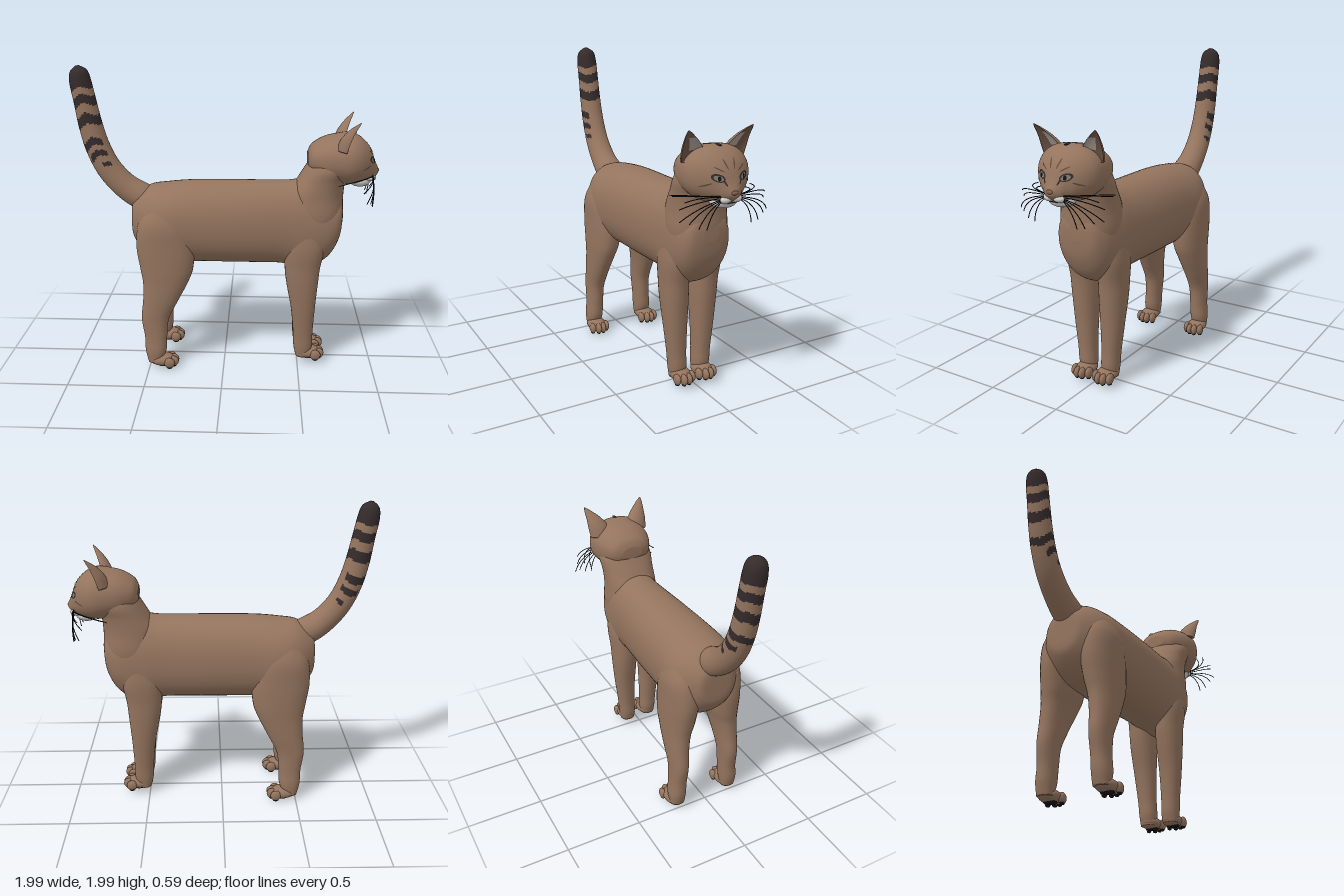
import * as THREE from 'three';

const mat = (name, color, side = THREE.FrontSide) => {
  const m = new THREE.MeshStandardMaterial({ color, side });
  m.name = name;
  return m;
};

// Catmull-Rom through rows of numbers; v runs from 0 to rows.length - 1
function sample(rows, v) {
  const i = Math.min(Math.floor(v), rows.length - 2), t = v - i;
  const at = k => rows[Math.max(0, Math.min(rows.length - 1, k))];
  return rows[0].map((_, c) => {
    const [a, b, d, e] = [at(i - 1)[c], at(i)[c], at(i + 1)[c], at(i + 2)[c]];
    return b + 0.5 * t * (d - a + t * (2 * a - 5 * b + 4 * d - e + t * (3 * (b - d) + e - a)));
  });
}

// Skin over rounded rings. Row: x, y, z, half size in the xy plane, half size in z,
// heading in degrees (0 = towards +x, 90 = up). pick(v, angle) chooses the material index.
function loft(rows, { steps = 8, sides = 32, power = 2.2, front = 1, pick = () => 0 } = {}) {
  const n = (rows.length - 1) * steps, pos = [], faces = [[], [], []];
  const bend = w => Math.sign(w) * Math.abs(w) ** (2 / power);
  for (let i = 0; i <= n; i++) {
    const [x, y, z, hu, hv, dir] = sample(rows, i / steps);
    const t = THREE.MathUtils.degToRad(dir - 90);
    for (let j = 0; j < sides; j++) {
      const a = j / sides * Math.PI * 2, c = Math.cos(a);
      const u = Math.max(hu, 0.001) * bend(c) * (c > 0 ? front : 1);
      pos.push(x + Math.cos(t) * u, y + Math.sin(t) * u, z + Math.max(hv, 0.001) * bend(Math.sin(a)));
    }
  }
  for (const r of [rows[0], rows[rows.length - 1]]) pos.push(r[0], r[1], r[2]);
  const start = (n + 1) * sides;
  for (let j = 0; j < sides; j++) {
    const k = (j + 1) % sides;
    for (let i = 0; i < n; i++) {
      const a = i * sides + j, b = i * sides + k;
      faces[pick((i + 0.5) / steps, (j + 0.5) / sides * Math.PI * 2)].push(a, a + sides, b, b, a + sides, b + sides);
    }
    faces[pick(0, 0)].push(start, j, k);
    faces[pick(rows.length - 1, 0)].push(start + 1, n * sides + k, n * sides + j);
  }
  const g = new THREE.BufferGeometry();
  g.setAttribute('position', new THREE.Float32BufferAttribute(pos, 3));
  g.setIndex(faces.flat());
  let offset = 0;
  faces.forEach((f, m) => { if (f.length) g.addGroup(offset, f.length, m); offset += f.length; });
  g.computeVertexNormals();
  return g;
}

export function createModel() {
  const cat = new THREE.Group();
  cat.name = 'cat';
  const fur = mat('tan fur', 0x94745e), dark = mat('dark brown markings', 0x352b2b);
  const white = mat('white muzzle fur', 0xd2cecb), inner = mat('inner ear', 0x6d5446);
  const tuft = mat('pale ear hair', 0xa89c93), iris = mat('grey eye', 0x7d7a70);
  const black = mat('black', 0x171313), nosePink = mat('nose', 0x8a5f52);
  const stripe = mat('faint face stripe', 0x644a3c);

  const add = (name, geo, material, parent = cat) => {
    const m = new THREE.Mesh(geo, material);
    m.name = name;
    parent.add(m);
    return m;
  };
  const blob = (name, material, p, r, parent = cat) => {
    const m = add(name, new THREE.SphereGeometry(1, 24, 16), material, parent);
    m.position.set(...p);
    m.scale.set(...r);
    return m;
  };

  // Torso, rump to chest
  add('torso', loft([
    [-0.612, 1.0, 0, 0.08, 0.07], [-0.595, 1.0, 0, 0.15, 0.13], [-0.5, 0.98, 0, 0.24, 0.205],
    [-0.38, 0.972, 0, 0.268, 0.24], [-0.2, 0.982, 0, 0.274, 0.232], [0.1, 0.983, 0, 0.277, 0.22],
    [0.38, 0.982, 0, 0.28, 0.2], [0.5, 0.97, 0, 0.3, 0.195], [0.62, 0.97, 0, 0.265, 0.185],
    [0.7, 0.98, 0, 0.21, 0.165], [0.755, 1.02, 0, 0.14, 0.125], [0.775, 1.05, 0, 0.05, 0.05],
  ].map(r => [...r, 0]), { sides: 48 }), fur);

  // Neck
  add('neck', loft([
    [0.6, 0.9, 0, 0.13, 0.16], [0.595, 1.05, 0, 0.178, 0.185], [0.597, 1.18, 0, 0.177, 0.178],
    [0.63, 1.28, 0, 0.155, 0.178], [0.675, 1.37, 0, 0.145, 0.185], [0.7, 1.46, 0, 0.12, 0.15],
  ].map(r => [...r, 90]), { sides: 40 }), fur);

  // Head, nape to nose
  const head = add('head', loft([
    [0.535, 1.42, 0, 0.04, 0.07], [0.565, 1.42, 0, 0.09, 0.135], [0.64, 1.42, 0, 0.135, 0.18],
    [0.72, 1.42, 0, 0.155, 0.2], [0.8, 1.42, 0, 0.165, 0.203], [0.86, 1.415, 0, 0.15, 0.18],
    [0.91, 1.4, 0, 0.123, 0.135], [0.943, 1.378, 0, 0.095, 0.09], [0.968, 1.35, 0, 0.055, 0.058],
    [0.99, 1.34, 0, 0.02, 0.025],
  ].map(r => [...r, 0]), { sides: 48 }), fur);

  // White muzzle, chin and nose
  const muzzle = new THREE.Group();
  muzzle.name = 'muzzle';
  cat.add(muzzle);
  blob('chin', white, [0.875, 1.278, 0], [0.075, 0.045, 0.085], muzzle);
  blob('nose', nosePink, [0.985, 1.342, 0], [0.014, 0.014, 0.024], muzzle);
  blob('mouth', dark, [0.935, 1.279, 0], [0.03, 0.005, 0.045], muzzle);
  for (const s of [1, -1]) blob('whiskerPad', white, [0.938, 1.301, s * 0.034], [0.04, 0.026, 0.042], muzzle);

  // Thin plates laid onto the face; shape coordinates are z and y
  cat.updateMatrixWorld(true);
  const ray = new THREE.Raycaster();
  const facePlate = (name, geo, material, lift = 0.004) => {
    const p = geo.attributes.position;
    for (let i = 0; i < p.count; i++) {
      const z = -p.getX(i), y = p.getY(i);
      ray.set(new THREE.Vector3(2, y, z), new THREE.Vector3(-1, 0, 0));
      const hit = ray.intersectObject(head)[0];
      p.setXYZ(i, (hit ? hit.point.x : 0.85) + lift, y, z);
    }
    geo.computeVertexNormals();
    return add(name, geo, material);
  };
  const oval = (z, y, rz, ry, tilt = 0) =>
    new THREE.CircleGeometry(1, 20).scale(rz, ry, 1).rotateZ(tilt).translate(-z, y, 0);

  for (const s of [1, -1]) {
    facePlate('eyeRim', oval(s * 0.082, 1.425, 0.037, 0.022, -s * 0.3), dark, 0.003);
    facePlate('eye', oval(s * 0.082, 1.424, 0.026, 0.015, -s * 0.3), iris, 0.006);
    facePlate('pupil', oval(s * 0.08, 1.424, 0.009, 0.014), black, 0.009);
    facePlate('tearMark', oval(s * 0.05, 1.4, 0.005, 0.022, s * 0.5), dark);
    facePlate('browMark', oval(s * 0.07, 1.47, 0.03, 0.004, -s * 0.5), stripe);
    facePlate('foreheadStripe', oval(s * 0.028, 1.495, 0.005, 0.03, s * 0.3), stripe);
    facePlate('cheekStripe', oval(s * 0.14, 1.385, 0.03, 0.005, s * 0.4), stripe);
  }

  // Ears: cupped forward, dark inside with a pale tuft
  for (const s of [1, -1]) {
    add('ear', loft([
      [0.765, 1.49, 0.135, 0.06, 0.075, 80], [0.782, 1.55, 0.145, 0.055, 0.072, 75],
      [0.805, 1.61, 0.168, 0.036, 0.05, 70], [0.832, 1.66, 0.198, 0.014, 0.022, 65],
      [0.845, 1.683, 0.212, 0.002, 0.004, 65],
    ].map(r => [r[0], r[1], s * r[2], ...r.slice(3)]), {
      front: -0.35, power: 2,
      pick: (v, a) => Math.cos(a) < 0.2 || v > 3.6 ? 0 : Math.sin(a) * s < 0.1 && v > 1 && v < 2.4 ? 2 : 1,
    }), [fur, inner, tuft]);
  }
  blob('crownSpot', dark, [0.815, 1.582, 0], [0.03, 0.006, 0.012]);

  // Whiskers: start y, end x, y, z
  for (const s of [1, -1]) {
    [[1.315, 0.9, 1.3, 0.27], [1.31, 0.87, 1.255, 0.285], [1.305, 0.89, 1.19, 0.295], [1.3, 0.92, 1.18, 0.25],
      [1.298, 0.94, 1.15, 0.2], [1.295, 0.945, 1.14, 0.15], [1.315, 0.75, 1.31, 0.275], [1.32, 0.72, 1.29, 0.24],
    ].forEach(([y, ex, ey, ez]) => {
      const curve = new THREE.QuadraticBezierCurve3(new THREE.Vector3(0.95, y, s * 0.055),
        new THREE.Vector3(0.96, (y + ey) / 2 + 0.035, s * (ez * 0.65 + 0.03)), new THREE.Vector3(ex, ey, s * ez));
      add('whisker', new THREE.TubeGeometry(curve, 12, 0.0028, 5), black);
    });
  }

  // Legs, foot to shoulder or hip
  const frontLeg = [
    [0.535, 0.05, 0.085, 0.045, 0.05], [0.537, 0.12, 0.085, 0.063, 0.058], [0.535, 0.22, 0.09, 0.066, 0.06],
    [0.53, 0.4, 0.098, 0.08, 0.072], [0.52, 0.58, 0.102, 0.104, 0.083], [0.518, 0.7, 0.105, 0.117, 0.085],
    [0.53, 0.85, 0.11, 0.13, 0.088], [0.54, 1.0, 0.1, 0.1, 0.075], [0.54, 1.1, 0.09, 0.04, 0.03],
  ];
  const hindLeg = [
    [-0.465, 0.04, 0.197, 0.045, 0.05], [-0.458, 0.12, 0.196, 0.07, 0.057], [-0.457, 0.22, 0.19, 0.075, 0.055],
    [-0.458, 0.35, 0.186, 0.092, 0.058], [-0.42, 0.48, 0.182, 0.118, 0.068], [-0.388, 0.6, 0.172, 0.148, 0.081],
    [-0.378, 0.7, 0.16, 0.175, 0.096], [-0.385, 0.85, 0.15, 0.19, 0.106], [-0.395, 1.0, 0.14, 0.165, 0.11],
    [-0.4, 1.12, 0.12, 0.1, 0.08],
  ];
  for (const s of [1, -1]) {
    for (const [name, rows, x, y, z] of [['front', frontLeg, 0.57, 0.03, 0.08], ['hind', hindLeg, -0.415, 0.008, 0.2]]) {
      add(name + 'Leg', loft(rows.map(r => [r[0], r[1], s * r[2], r[3], r[4], 90])), fur);
      const paw = new THREE.Group();
      paw.name = name + 'Paw';
      paw.position.set(x, y, s * z);
      cat.add(paw);
      blob('foot', fur, [0, 0.045, 0], [0.088, 0.043, 0.064], paw);
      blob('heelPad', black, [0.005, 0.012, 0], [0.045, 0.014, 0.042], paw);
      for (let i = 0; i < 4; i++) {
        const tx = i % 3 ? 0.075 : 0.052, tz = (i - 1.5) * 0.035;
        blob('toe', fur, [tx, 0.039, tz], [0.036, 0.036, 0.02], paw);
        blob('toePad', black, [tx, 0.009, tz], [0.02, 0.012, 0.013], paw);
      }
    }
  }

  // Tail with dark tip, rings and side spots
  const ringed = (v, a) => {
    const w = v + 0.07 * Math.sin(3 * a) + 0.05 * Math.cos(2 * a), side = Math.abs(Math.sin(a)), c = Math.cos(a);
    const band = (lo, hi) => w > lo && w < hi;
    return w > 6.6 || band(5.8, 6.22) || band(5, 5.42) || (band(4.1, 4.42) && c < 0.75)
      || (band(3.6, 3.85) && side > 0.75) || (band(3.1, 3.28) && side > 0.8 && c > 0) ? 1 : 0;
  };
  add('tail', loft([
    [-0.45, 1.11, 0, 0.07, 0.08, 165], [-0.55, 1.145, 0, 0.09, 0.095, 152], [-0.66, 1.215, 0, 0.085, 0.086, 140],
    [-0.762, 1.33, 0, 0.082, 0.079, 125], [-0.83, 1.47, 0, 0.08, 0.075, 112], [-0.872, 1.62, 0, 0.077, 0.072, 105],
    [-0.902, 1.78, 0, 0.072, 0.07, 102], [-0.925, 1.9, 0, 0.069, 0.068, 100], [-0.934, 1.965, 0, 0.054, 0.054, 98],
    [-0.94, 1.998, 0, 0.012, 0.012, 98],
  ], { steps: 14, sides: 48, power: 2, pick: ringed }), [fur, dark]);

  return cat;
}
